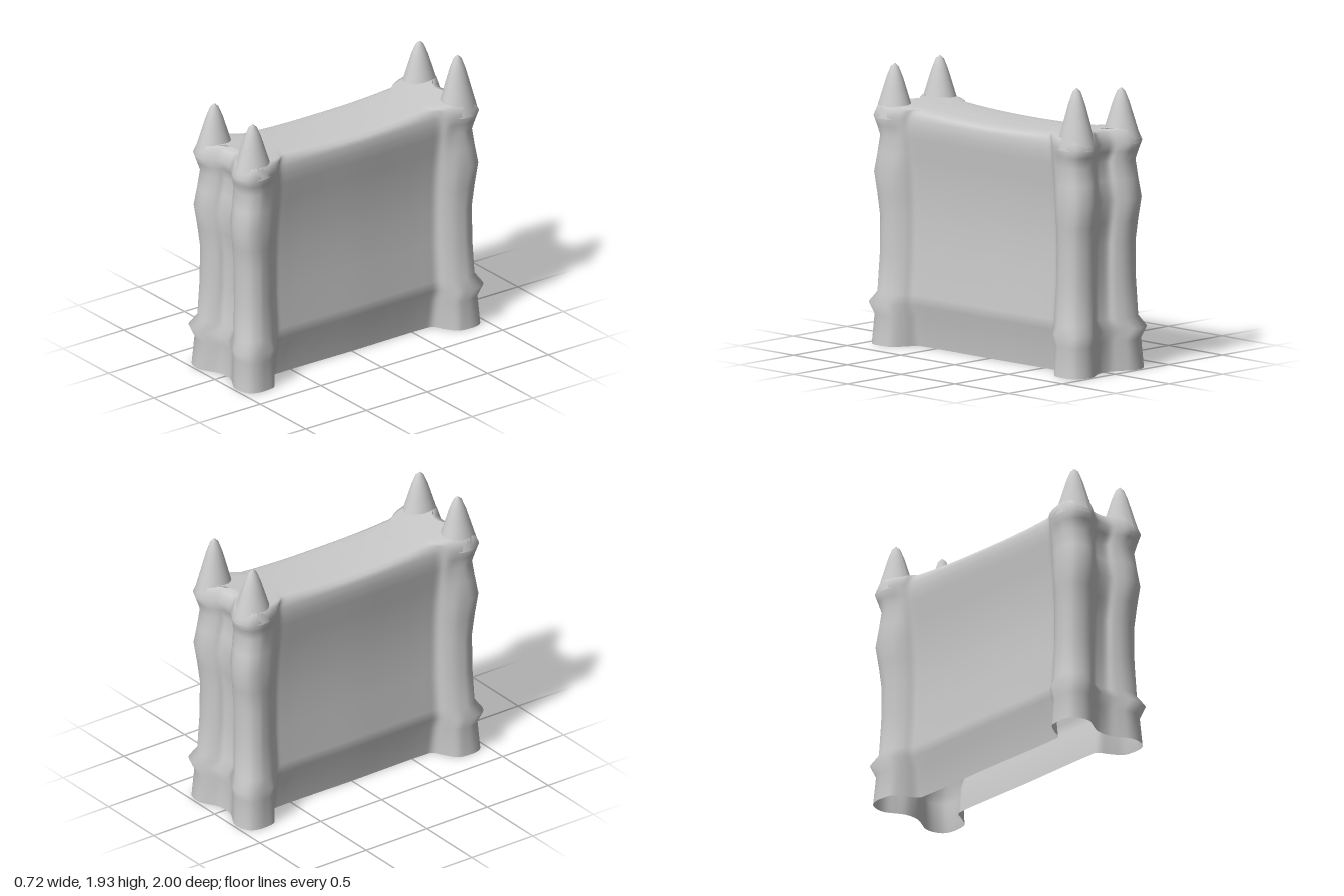
import * as THREE from 'three';

const material = new THREE.MeshStandardMaterial({ color: 0xcccccc, side: THREE.DoubleSide });
const SEGMENTS = 96;

// Bone-shaped plan: wall half-width w, post reach X sideways and Z endways
function outline(w, X, Z) {
  const d = X - w;
  const quarter = [
    [w + 0.004, 0], [w, 0.32], [w, 0.58], [w + 0.06 * d, 0.66], [w + 0.5 * d, 0.705], [X - 0.014, 0.76],
    [X, 0.82], [X, Z - 0.09], [X - 0.025, Z - 0.035], [X - 0.09, Z - 0.002], [X - 0.16, Z - 0.003],
    [X - 0.22, Z - 0.035], [0.06, Z - 0.07], [0, Z - 0.078],
  ];
  const back = quarter.slice(0, -1).reverse();
  const half = [...quarter, ...back.map(([x, z]) => [-x, z])];
  const rest = half.slice(1, -1).reverse().map(([x, z]) => [x, -z]);
  const points = [...half, ...rest].map(([x, z]) => new THREE.Vector3(x, 0, z));
  return new THREE.CatmullRomCurve3(points, true).getPoints(SEGMENTS * 2).slice(0, -1);
}

// Skin a stack of closed rings
function loft(rings) {
  const n = rings[0].length, positions = [], index = [];
  rings.forEach(ring => ring.forEach(p => positions.push(p.x, p.y, p.z)));
  for (let r = 0; r < rings.length - 1; r++) {
    for (let i = 0; i < n; i++) {
      const a = r * n + i, c = r * n + (i + 1) % n;
      index.push(a, a + n, c, c, a + n, c + n);
    }
  }
  const geometry = new THREE.BufferGeometry();
  geometry.setAttribute('position', new THREE.Float32BufferAttribute(positions, 3));
  geometry.setIndex(index);
  geometry.computeVertexNormals();
  return geometry;
}

function createWall() {
  // height, wall half-width, post side reach, post end reach
  const levels = [
    [0, 0.17, 0.347, 0.983], [0.2, 0.197, 0.333, 0.97], [0.28, 0.228, 0.358, 1.0],
    [0.35, 0.23, 0.322, 0.955], [0.6, 0.209, 0.31, 0.945], [0.85, 0.206, 0.306, 0.945],
    [1.0, 0.21, 0.314, 0.962], [1.15, 0.22, 0.325, 0.983], [1.28, 0.235, 0.314, 0.962],
    [1.4, 0.252, 0.306, 0.945], [1.47, 0.259, 0.318, 0.965], [1.53, 0.256, 0.331, 0.983],
  ];
  const rings = levels.map(([y, w, X, Z]) => outline(w, X, Z).map(p => p.setY(y)));

  // Rounded top closing on the centre line and rising slightly to both ends
  const rim = rings[rings.length - 1];
  for (const [fx, fz, drop] of [[0.95, 0.965, 0.021], [0.82, 0.92, 0.007], [0.5, 0.87, 0.002], [0, 0.83, 0]]) {
    rings.push(rim.map(p => {
      const z = p.z * fz;
      return new THREE.Vector3(p.x * fx, 1.58 + 0.06 * z * z - drop, z);
    }));
  }
  return new THREE.Mesh(loft(rings), material);
}

// Tapering point on a corner post, flared where it meets the wall top
function createSpike(height) {
  const base = 1.52;
  const profile = [[0.127, 0], [0.119, 0.1], [0.098, 0.3], [0.072, 0.55], [0.052, 0.74], [0.026, 0.93], [0, 1]]
    .map(([r, t]) => new THREE.Vector2(r, base + t * (height - base)));
  const geometry = new THREE.LatheGeometry(profile, 24);
  geometry.scale(1, 1, 1.1);
  geometry.computeVertexNormals();
  return new THREE.Mesh(geometry, material);
}

export function createModel() {
  const model = new THREE.Group();
  model.name = 'spikedWall';

  const wall = createWall();
  wall.name = 'wallWithPosts';
  model.add(wall);

  for (const x of [-1, 1]) {
    for (const z of [-1, 1]) {
      const spike = createSpike(x > 0 && z < 0 ? 1.93 : 1.88);
      spike.name = (z > 0 ? 'front' : 'back') + (x > 0 ? 'Left' : 'Right') + 'Spike';
      spike.position.set(x * 0.211, 0, z * 0.845);
      model.add(spike);
    }
  }
  return model;
}
